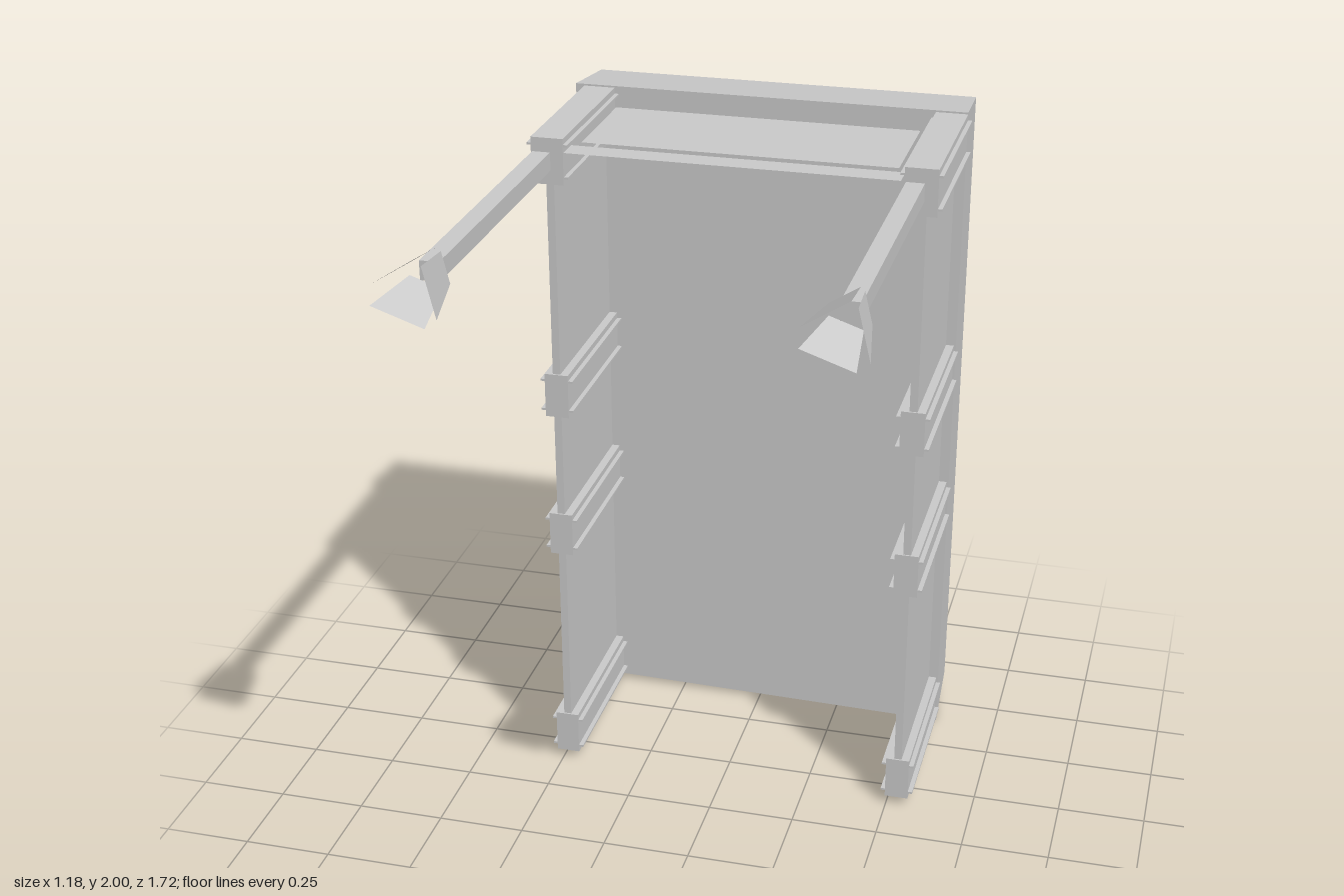
import * as THREE from 'three';

const mat = new THREE.MeshStandardMaterial({ color: 0xcccccc, flatShading: true, side: THREE.DoubleSide });

function addMesh(parent, name, geometry) {
  const mesh = new THREE.Mesh(geometry, mat);
  mesh.name = name;
  parent.add(mesh);
  return mesh;
}

// Box given by its minimum and maximum corners
function addBox(parent, name, [x0, y0, z0], [x1, y1, z1]) {
  const mesh = addMesh(parent, name, new THREE.BoxGeometry(x1 - x0, y1 - y0, z1 - z0));
  mesh.position.set((x0 + x1) / 2, (y0 + y1) / 2, (z0 + z1) / 2);
}

// Thin sheet made of four-cornered faces
function sheet(...quads) {
  const pos = quads.flatMap(([a, b, c, d]) => [a, b, c, a, c, d].flat());
  const geo = new THREE.BufferGeometry();
  geo.setAttribute('position', new THREE.Float32BufferAttribute(pos, 3));
  geo.computeVertexNormals();
  return geo;
}

// Horizontal sheet
const flat = (x0, x1, z0, z1, y) => sheet([[x0, y, z1], [x1, y, z1], [x1, y, z0], [x0, y, z0]]);

export function createModel() {
  const model = new THREE.Group();
  model.name = 'cabinetFrame';

  // Back tray: panel with four tapering walls, open to the rear
  const front = [[-0.56, 0.025], [0.57, 0.005], [0.57, 1.975], [-0.56, 1.975]].map(([x, y]) => [x, y, -0.643]);
  const rear = [[-0.55, 0.06], [0.56, 0.055], [0.56, 1.955], [-0.55, 1.955]].map(([x, y]) => [x, y, -0.86]);
  addMesh(model, 'backPanel', sheet(front));
  addMesh(model, 'trayWalls', sheet(...front.map((p, i) => {
    const j = (i + 1) % 4;
    return [p, rear[i], rear[j], front[j]];
  })));

  // Top plate and front cross strip
  addMesh(model, 'topPlate', flat(-0.43, 0.445, -0.605, -0.275, 1.925));
  addMesh(model, 'crossStrip', flat(-0.45, 0.47, -0.23, -0.16, 1.93));

  for (const [label, cx] of [['right', -0.485], ['left', 0.53]]) {
    const side = new THREE.Group();
    side.name = label + 'Side';
    model.add(side);

    addBox(side, 'sidePanel', [cx - 0.011, 0.03, -0.643], [cx + 0.011, 1.97, -0.16]);

    // Horizontal rails, each with two thin projecting lips
    for (const y of [0.03, 0.71, 1.15, 1.84]) {
      const top = y > 1.8;
      const mid = top ? cx - 0.005 : cx;
      const half = top ? 0.045 : 0.034;
      const lip = top ? 0.057 : 0.047;
      addBox(side, 'rail', [mid - half, y, -0.643], [mid + half, y + 0.13, -0.155]);
      for (const h of [0.02, 0.11]) {
        addBox(side, 'railLip', [mid - lip, y + h - 0.003, -0.643], [mid + lip, y + h + 0.003, -0.157]);
      }
    }

    // Forward arm
    const ax = cx - 0.021;
    addBox(side, 'arm', [ax - 0.025, 1.88, -0.16], [ax + 0.025, 1.93, 0.69]);

    // Three separate flared plates around the arm's end
    const plates = [
      [[-0.085, 0.015], [0.032, 0.09]],
      [[0.048, 0.075], [0.079, -0.055]],
      [[0.048, -0.08], [-0.085, -0.035]],
    ];
    for (const [a, b] of plates) {
      const at = ([x, y], s, z) => [ax + x * s, 1.91 + y * s, z];
      addMesh(side, 'flarePlate', sheet([at(a, 0.62, 0.685), at(a, 1, 0.86), at(b, 1, 0.86), at(b, 0.62, 0.685)]));
    }
  }
  return model;
}
